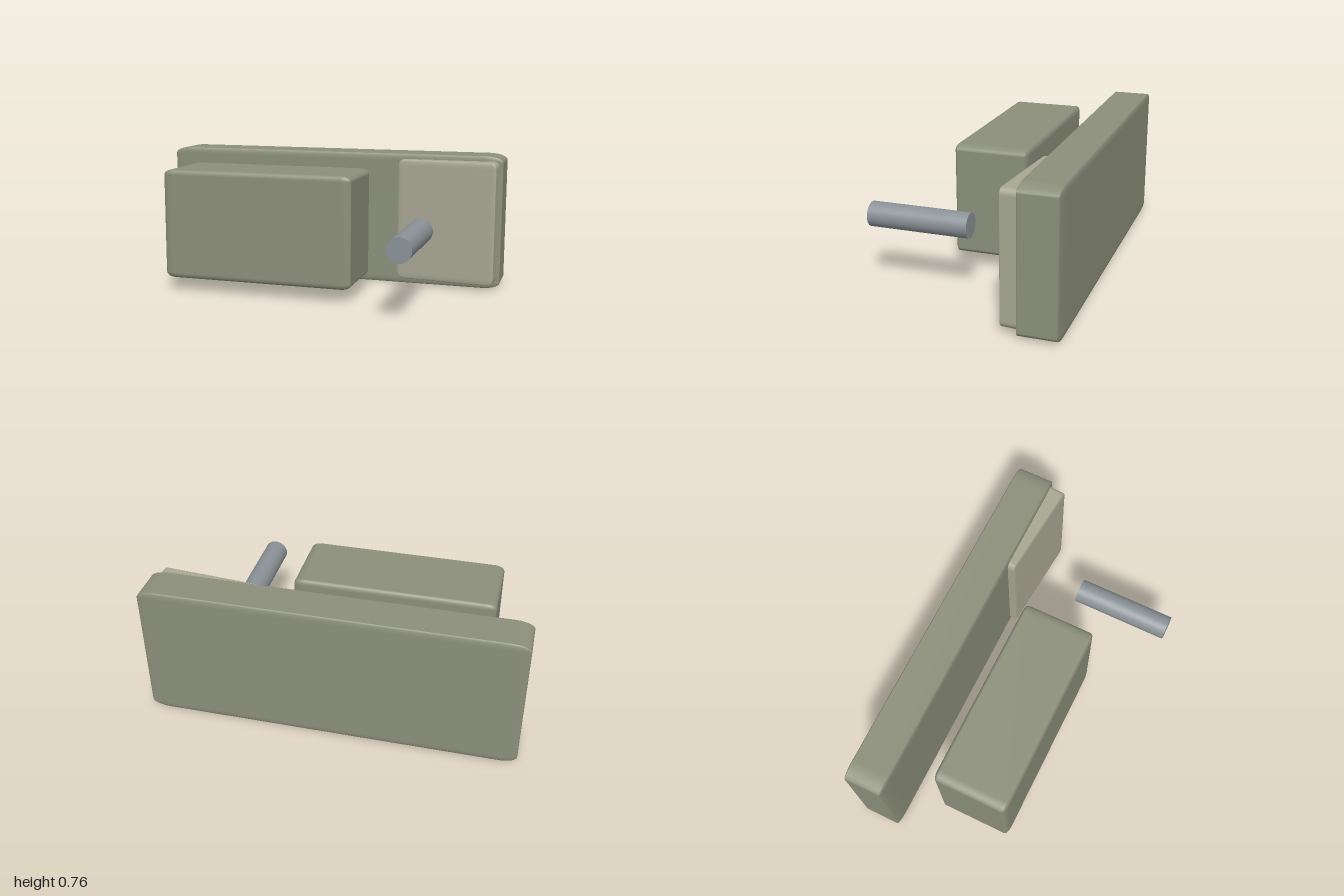
import * as THREE from 'three';
import { RoundedBoxGeometry } from 'three/addons/geometries/RoundedBoxGeometry.js';

const paint = (color) => new THREE.MeshStandardMaterial({ color });

// Rounded unit cube stretched to size, so the edge rounding stretches with it
function roundedBlock(name, size, position, material) {
  const geometry = new RoundedBoxGeometry(1, 1, 1, 4, 0.05).scale(...size);
  const mesh = new THREE.Mesh(geometry, material);
  mesh.name = name;
  mesh.position.set(...position);
  return mesh;
}

export function createModel() {
  const model = new THREE.Group();
  model.name = 'model';
  const olive = paint(0x8b8f7a);
  const paleOlive = paint(0xa8a793);
  const steel = paint(0x8a9297);

  // Long upright slab at the back
  model.add(roundedBlock('backPlate', [2, 0.757, 0.215], [0, 0.379, -0.4525], olive));

  // Free-standing block in front of the slab
  model.add(roundedBlock('frontBlock', [1.08, 0.612, 0.408], [-0.258, 0.382, 0.036], olive));

  // Slightly turned pad sunk into the slab
  const pad = roundedBlock('tiltedPad', [0.56, 0.692, 0.14], [0.698, 0.382, -0.351], paleOlive);
  pad.rotation.y = -0.083;
  model.add(pad);

  // Peg pointing forward
  const peg = new THREE.Mesh(
    new THREE.CylinderGeometry(0.066, 0.066, 0.543, 32).rotateX(Math.PI / 2),
    steel
  );
  peg.name = 'peg';
  peg.position.set(0.613, 0.382, 0.2885);
  model.add(peg);

  return model;
}
